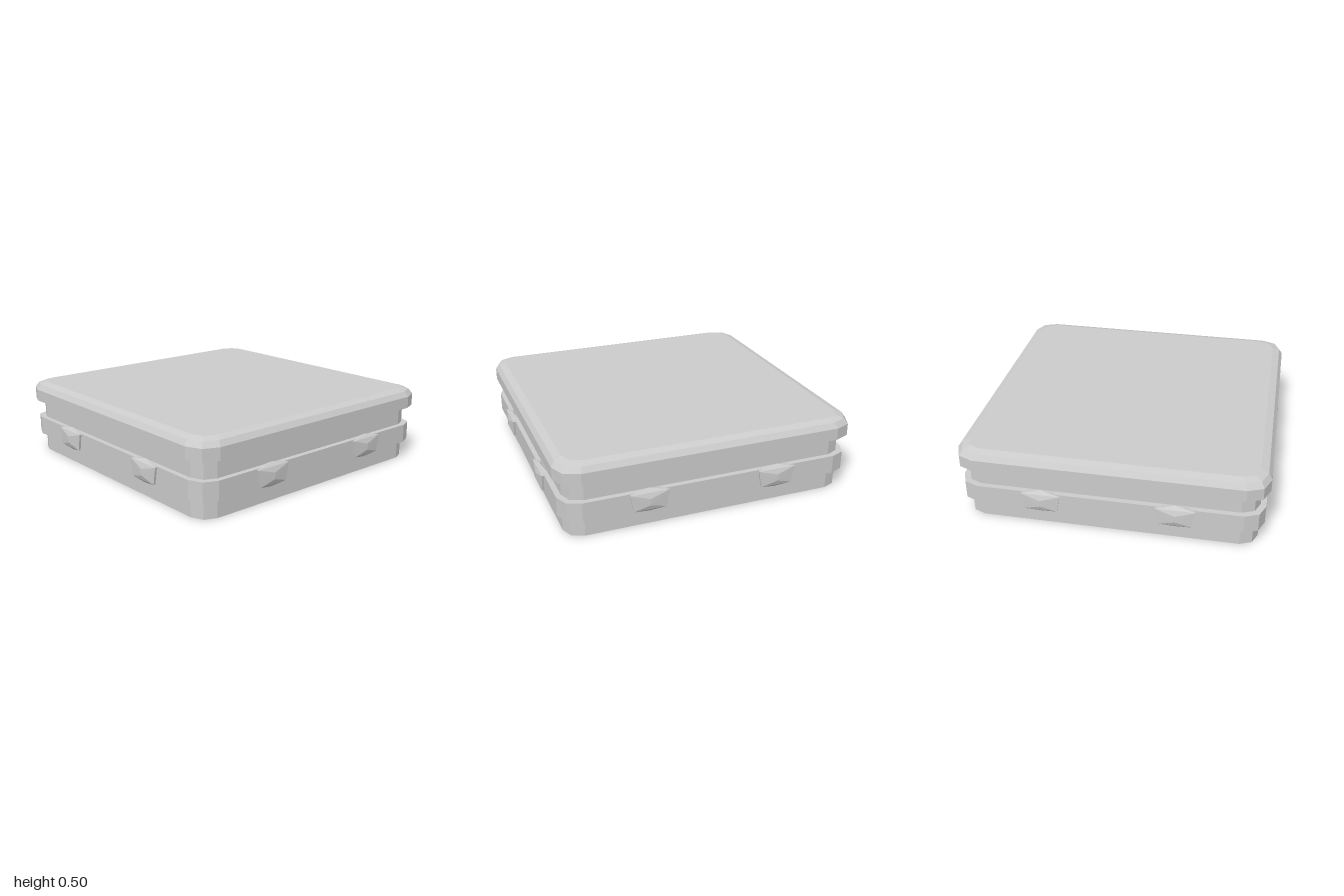
import * as THREE from 'three';
import { ConvexGeometry } from 'three/addons/geometries/ConvexGeometry.js';

const material = new THREE.MeshStandardMaterial({ color: 0xcccccc, flatShading: true });

// Square outline with two-segment rounded corners, at height y
function ring(half, radius, y) {
  const points = [];
  for (let corner = 0; corner < 4; corner++) {
    const start = corner * Math.PI / 2;
    const cx = (corner === 0 || corner === 3 ? 1 : -1) * (half - radius);
    const cz = (corner < 2 ? 1 : -1) * (half - radius);
    for (let i = 0; i < 3; i++) {
      const a = start + i * Math.PI / 4;
      points.push(new THREE.Vector3(cx + radius * Math.cos(a), y, cz + radius * Math.sin(a)));
    }
  }
  return points;
}

// Solid from stacked rings: [half width, corner radius, height], bottom to top
function slab(name, sections) {
  const points = sections.flatMap(s => ring(...s));
  const mesh = new THREE.Mesh(new ConvexGeometry(points), material);
  mesh.name = name;
  return mesh;
}

// Faceted stud on the front edge: widest at the top, pointed above and below
function studGeometry() {
  const points = [
    [0, 0.264, 0.965], [0, 0.104, 0.965],
    [0, 0.203, 1.0], [0, 0.16, 1.0],
  ];
  for (const s of [-1, 1]) {
    points.push([s * 0.126, 0.24, 0.987], [s * 0.106, 0.126, 0.987]);
    points.push([s * 0.12, 0.236, 0.935], [s * 0.1, 0.13, 0.935]);
  }
  return new ConvexGeometry(points.map(p => new THREE.Vector3(...p)));
}

export function createModel() {
  const model = new THREE.Group();
  model.name = 'studdedSlab';

  model.add(slab('base', [[0.937, 0.11, 0], [0.937, 0.11, 0.38]]));
  model.add(slab('band', [[0.972, 0.125, 0.122], [0.972, 0.125, 0.245]]));
  model.add(slab('lid', [
    [0.991, 0.14, 0.37], [0.991, 0.14, 0.45],
    [0.968, 0.13, 0.485], [0.92, 0.1, 0.5],
  ]));

  // Two studs on each of the four sides
  const geometry = studGeometry();
  for (let side = 0; side < 4; side++) {
    const pair = new THREE.Group();
    pair.name = 'studPair';
    pair.rotation.y = side * Math.PI / 2;
    for (const x of [-0.428, 0.428]) {
      const stud = new THREE.Mesh(geometry, material);
      stud.name = 'stud';
      stud.position.x = x;
      pair.add(stud);
    }
    model.add(pair);
  }
  return model;
}
